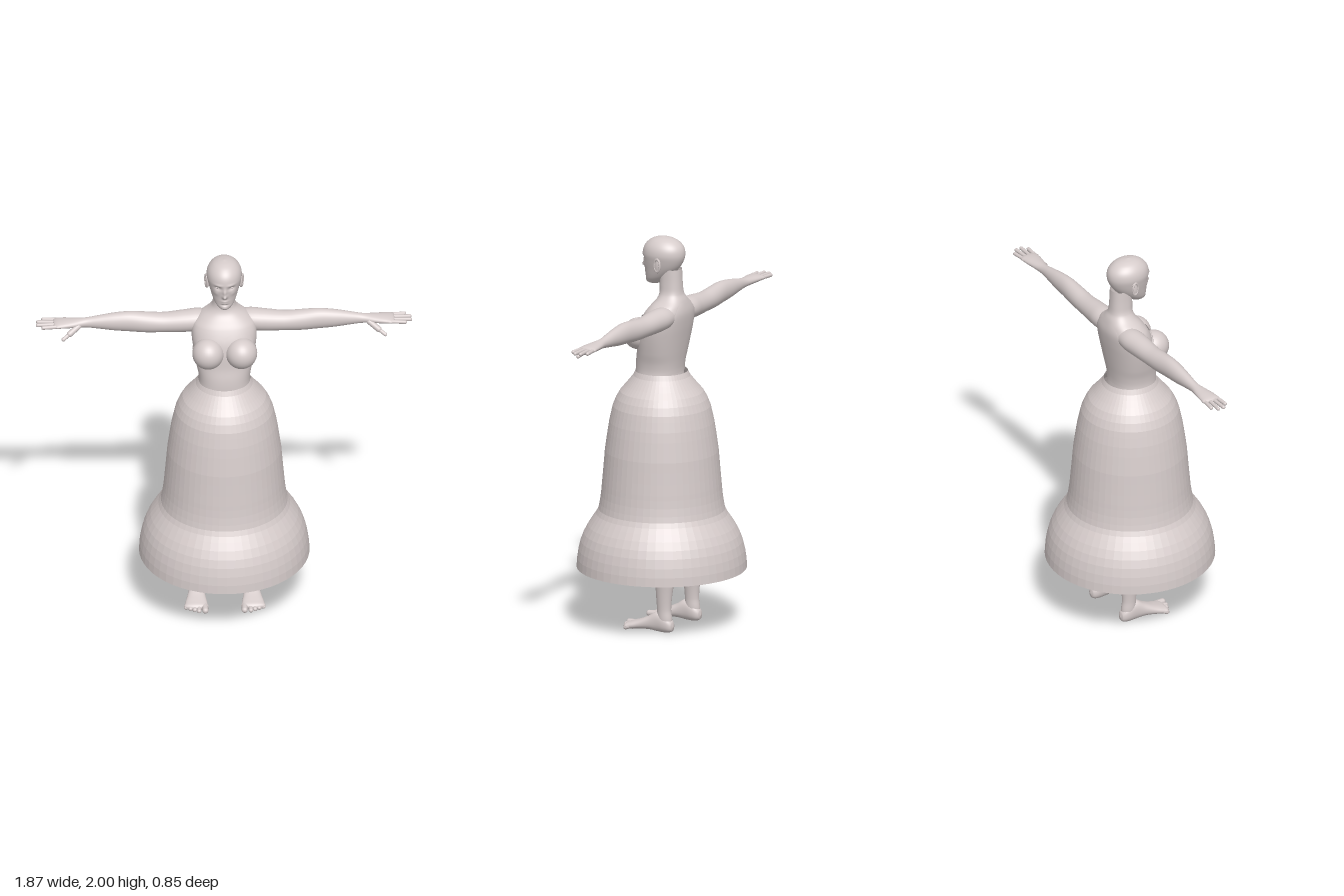
import * as THREE from 'three';

const skin = new THREE.MeshStandardMaterial({ color: 0xd6cccb, side: THREE.DoubleSide });
skin.name = 'pale clay';

// Smooth interpolation of keys [t, a, b, ...] at t
function sample(keys, t) {
  const n = keys.length;
  let i = 0;
  while (i < n - 2 && t > keys[i + 1][0]) i++;
  const k0 = keys[Math.max(i - 1, 0)], k1 = keys[i], k2 = keys[i + 1], k3 = keys[Math.min(i + 2, n - 1)];
  const h = k2[0] - k1[0], u = Math.min(Math.max((t - k1[0]) / h, 0), 1);
  return k1.slice(1).map((p, c) => {
    const q = k2[c + 1];
    const m1 = (q - k0[c + 1]) / (k2[0] - k0[0]) * h;
    const m2 = (k3[c + 1] - p) / (k3[0] - k1[0]) * h;
    const d = q - p;
    return p + u * (m1 + u * (3 * d - 2 * m1 - m2 + u * (m1 + m2 - 2 * d)));
  });
}

// Closed rings joined into a smooth skin; place(row, angle) returns [x, y, z]
function rings(rows, seg, place) {
  const pos = [], idx = [];
  rows.forEach((row, i) => {
    for (let j = 0; j < seg; j++) {
      pos.push(...place(row, (j / seg) * Math.PI * 2));
      if (i === rows.length - 1) continue;
      const a = i * seg + j, b = i * seg + (j + 1) % seg;
      idx.push(a, b, b + seg, a, b + seg, a + seg);
    }
  });
  const g = new THREE.BufferGeometry();
  g.setAttribute('position', new THREE.Float32BufferAttribute(pos, 3));
  g.setIndex(idx);
  g.computeVertexNormals();
  return g;
}

function loft(keys, sub, seg, place) {
  const rows = [];
  for (let i = 0; i < keys.length - 1; i++)
    for (let s = 0; s < sub; s++) rows.push(keys[i][0] + (keys[i + 1][0] - keys[i][0]) * s / sub);
  rows.push(keys[keys.length - 1][0]);
  return rings(rows, seg, (t, a) => place(t, sample(keys, t), a));
}

function add(parent, name, geometry) {
  const m = new THREE.Mesh(geometry, skin);
  m.name = name;
  parent.add(m);
  return m;
}

function ball(parent, name, p, s) {
  const m = add(parent, name, new THREE.SphereGeometry(1, 32, 20));
  m.position.set(...p);
  m.scale.set(...s);
  return m;
}

// Rounded rod between two points, for fingers and toes
function rod(parent, name, a, b, r) {
  const A = new THREE.Vector3(...a), B = new THREE.Vector3(...b), d = B.clone().sub(A);
  const m = add(parent, name, new THREE.CapsuleGeometry(r, d.length(), 5, 10));
  m.position.copy(A).add(B).multiplyScalar(0.5);
  m.quaternion.setFromUnitVectors(new THREE.Vector3(0, 1, 0), d.normalize());
}

const soft = (v, p) => Math.sign(v) * Math.abs(v) ** p;
// Oval with its own half width, front and back
const oval = (y, [w, f, b], a, p = 0.88, grow = 0) => [
  (w + grow) * soft(Math.sin(a), p), y, (f + b) / 2 + ((f - b) / 2 + grow) * soft(Math.cos(a), p)];

// [height, half width, front z, back z]
const torsoKeys = [
  [1.1, 0.16, 0.11, -0.12], [1.22, 0.14, 0.115, -0.11], [1.31, 0.123, 0.118, -0.1], [1.36, 0.126, 0.115, -0.104],
  [1.42, 0.14, 0.105, -0.114], [1.5, 0.156, 0.1, -0.128], [1.56, 0.162, 0.088, -0.138], [1.62, 0.155, 0.06, -0.144],
  [1.655, 0.125, 0.035, -0.139], [1.685, 0.083, 0.012, -0.13], [1.715, 0.06, 0.002, -0.117],
  [1.76, 0.053, 0.002, -0.112], [1.84, 0.05, 0, -0.108]];
const headKeys = [
  [1.752, 0.004, 0.06, 0.04], [1.757, 0.024, 0.076, 0.015], [1.775, 0.043, 0.085, -0.015], [1.8, 0.057, 0.086, -0.05],
  [1.84, 0.071, 0.09, -0.093], [1.88, 0.082, 0.096, -0.117], [1.915, 0.088, 0.098, -0.125], [1.95, 0.081, 0.088, -0.117],
  [1.978, 0.06, 0.062, -0.09], [1.993, 0.033, 0.03, -0.055], [2, 0, -0.01, -0.011]];
// Face relief: [x, y, depth, spread x, spread y]
const relief = [
  [0, 1.842, 0.02, 0.011, 0.011], [0, 1.865, 0.012, 0.009, 0.02], [0.033, 1.888, -0.011, 0.016, 0.01],
  [0.032, 1.908, 0.004, 0.02, 0.006], [0, 1.812, 0.007, 0.017, 0.005], [0, 1.8, 0.006, 0.014, 0.005],
  [0, 1.788, -0.005, 0.02, 0.005], [0, 1.768, 0.004, 0.018, 0.01], [0.045, 1.855, 0.004, 0.014, 0.014]];

// Corset top edge by angle from the front
const edgeKeys = [[0, 1.59], [0.45, 1.595], [0.8, 1.575], [1.2, 1.505], [1.57, 1.485], [2.1, 1.48], [2.4, 1.56],
  [2.62, 1.665], [3.15, 1.67]];
function corsetPoint(v, a) {
  const A = Math.min(a, Math.PI * 2 - a);
  const top = sample(edgeKeys, A)[0] + (A < 1.05 ? 0.012 * Math.abs(Math.sin(A * 9)) : 0);
  const y = 1.31 + v * (top - 1.31);
  return oval(y, sample(torsoKeys, y), a, 0.88, 0.005);
}

function makeArm() {
  const arm = new THREE.Group();
  // [x, y, half height, z, half depth]
  const keys = [
    [0.05, 1.61, 0.045, -0.075, 0.05], [0.13, 1.61, 0.056, -0.073, 0.061], [0.2, 1.606, 0.056, -0.068, 0.058],
    [0.3, 1.602, 0.051, -0.065, 0.051], [0.38, 1.605, 0.054, -0.063, 0.048], [0.47, 1.612, 0.054, -0.062, 0.042],
    [0.55, 1.612, 0.047, -0.062, 0.037], [0.62, 1.611, 0.036, -0.062, 0.03], [0.69, 1.609, 0.025, -0.062, 0.025],
    [0.75, 1.609, 0.021, -0.06, 0.036], [0.81, 1.609, 0.018, -0.059, 0.045], [0.845, 1.608, 0.012, -0.059, 0.041],
    [0.853, 1.608, 0, -0.059, 0]];
  add(arm, 'armAndPalm', loft(keys, 5, 28, (x, [y, h, z, d], a) => [x, y + h * Math.cos(a), z + d * Math.sin(a)]));
  const tips = [[0.9, -0.1], [0.926, -0.075], [0.928, -0.045], [0.902, -0.019]];
  tips.forEach(([x, z], i) => rod(arm, 'finger', [0.825, 1.608, -0.092 + i * 0.0225], [x, 1.607, z], 0.0095));
  rod(arm, 'thumbBase', [0.725, 1.6, -0.04], [0.77, 1.575, -0.008], 0.015);
  rod(arm, 'thumb', [0.77, 1.575, -0.008], [0.802, 1.556, 0.012], 0.0095);
  return arm;
}

function makeLeg() {
  const leg = new THREE.Group();
  // [y, x, half width, z, half depth]
  const legKeys = [
    [0.03, 0.137, 0.026, -0.1, 0.035], [0.07, 0.137, 0.031, -0.098, 0.039], [0.12, 0.137, 0.03, -0.094, 0.037],
    [0.2, 0.136, 0.036, -0.094, 0.043], [0.3, 0.133, 0.047, -0.097, 0.053], [0.4, 0.128, 0.053, -0.092, 0.057],
    [0.52, 0.116, 0.053, -0.06, 0.055], [0.62, 0.108, 0.062, -0.045, 0.066], [0.9, 0.088, 0.083, -0.015, 0.092],
    [1.15, 0.075, 0.075, 0, 0.09]];
  add(leg, 'leg', loft(legKeys, 4, 28, (y, [x, w, z, d], a) => [x + w * Math.sin(a), y, z + d * Math.cos(a)]));
  // [z, x, half width, top, bottom]
  const footKeys = [
    [-0.147, 0.136, 0, 0.035, 0.034], [-0.14, 0.136, 0.021, 0.06, 0.012], [-0.11, 0.136, 0.033, 0.09, 0.003],
    [-0.06, 0.137, 0.034, 0.108, 0.004], [-0.015, 0.138, 0.039, 0.082, 0.009], [0.035, 0.14, 0.048, 0.058, 0.007],
    [0.08, 0.142, 0.057, 0.043, 0.002], [0.105, 0.142, 0.054, 0.034, 0.004], [0.115, 0.142, 0, 0.02, 0.018]];
  add(leg, 'foot', loft(footKeys, 4, 28, (z, [x, w, t, b], a) =>
    [x + w * soft(Math.cos(a), 0.85), (t + b) / 2 + (t - b) / 2 * soft(Math.sin(a), 0.9), z]));
  rod(leg, 'bigToe', [0.1, 0.02, 0.09], [0.098, 0.018, 0.129], 0.016);
  for (let i = 0; i < 4; i++)
    rod(leg, 'toe', [0.128 + i * 0.02, 0.02, 0.08], [0.129 + i * 0.021, 0.015, 0.129 - i * 0.011], 0.0115);
  return leg;
}

export function createModel() {
  const model = new THREE.Group();
  add(model, 'torsoAndNeck', loft(torsoKeys, 5, 56, oval));
  add(model, 'corset', rings(Array.from({ length: 25 }, (_, i) => i / 24), 128, corsetPoint));

  // Head with sculpted face
  const head = new THREE.Group();
  head.name = 'head';
  model.add(head);
  add(head, 'skullAndFace', loft(headKeys, 8, 128, (y, k, a) => {
    const p = oval(y, k, a, 1);
    if (Math.cos(a) > 0) for (const [x, cy, d, sx, sy] of relief)
      p[2] += d * Math.exp(-(((Math.abs(p[0]) - x) / sx) ** 2) - ((y - cy) / sy) ** 2);
    return p;
  }));

  // Paired parts, built on the left and mirrored
  for (const s of [1, -1]) {
    ball(head, 'eye', [s * 0.033, 1.888, 0.07], [0.015, 0.008, 0.01]);
    const ear = ball(head, 'ear', [s * 0.084, 1.865, -0.024], [0.009, 0.035, 0.019]);
    ear.rotation.set(-0.2, s * -0.25, 0);
    const rim = add(head, 'earRim', new THREE.TorusGeometry(0.019, 0.0045, 8, 24));
    rim.position.set(s * 0.09, 1.868, -0.025);
    rim.rotation.set(0, Math.PI / 2 - s * 0.25, 0);
    rim.scale.y = 1.65;
    ball(model, 'bust', [s * 0.083, 1.505, 0.083], [0.079, 0.08, 0.081]);
    for (const [name, limb] of [['arm', makeArm()], ['leg', makeLeg()]]) {
      limb.name = (s > 0 ? 'left ' : 'right ') + name;
      limb.scale.x = s;
      model.add(limb);
    }
  }

  // Faceted open bell skirt with a flared flounce: [radius, height]
  const profile = [
    [0.425, 0.3], [0.422, 0.345], [0.415, 0.39], [0.404, 0.435], [0.389, 0.475], [0.368, 0.515], [0.345, 0.55],
    [0.328, 0.575], [0.316, 0.6], [0.31, 0.63], [0.304, 0.67], [0.3, 0.71], [0.298, 0.735], [0.293, 0.79],
    [0.288, 0.85], [0.284, 0.9], [0.277, 0.95], [0.27, 1.0], [0.262, 1.05], [0.251, 1.1], [0.244, 1.13],
    [0.228, 1.17], [0.208, 1.205], [0.182, 1.235], [0.16, 1.262], [0.142, 1.285], [0.13, 1.31]];
  const skirt = new THREE.LatheGeometry(profile.map(([r, y]) => new THREE.Vector2(r, y)), 56).toNonIndexed();
  skirt.computeVertexNormals();
  add(model, 'skirt', skirt);
  return model;
}
